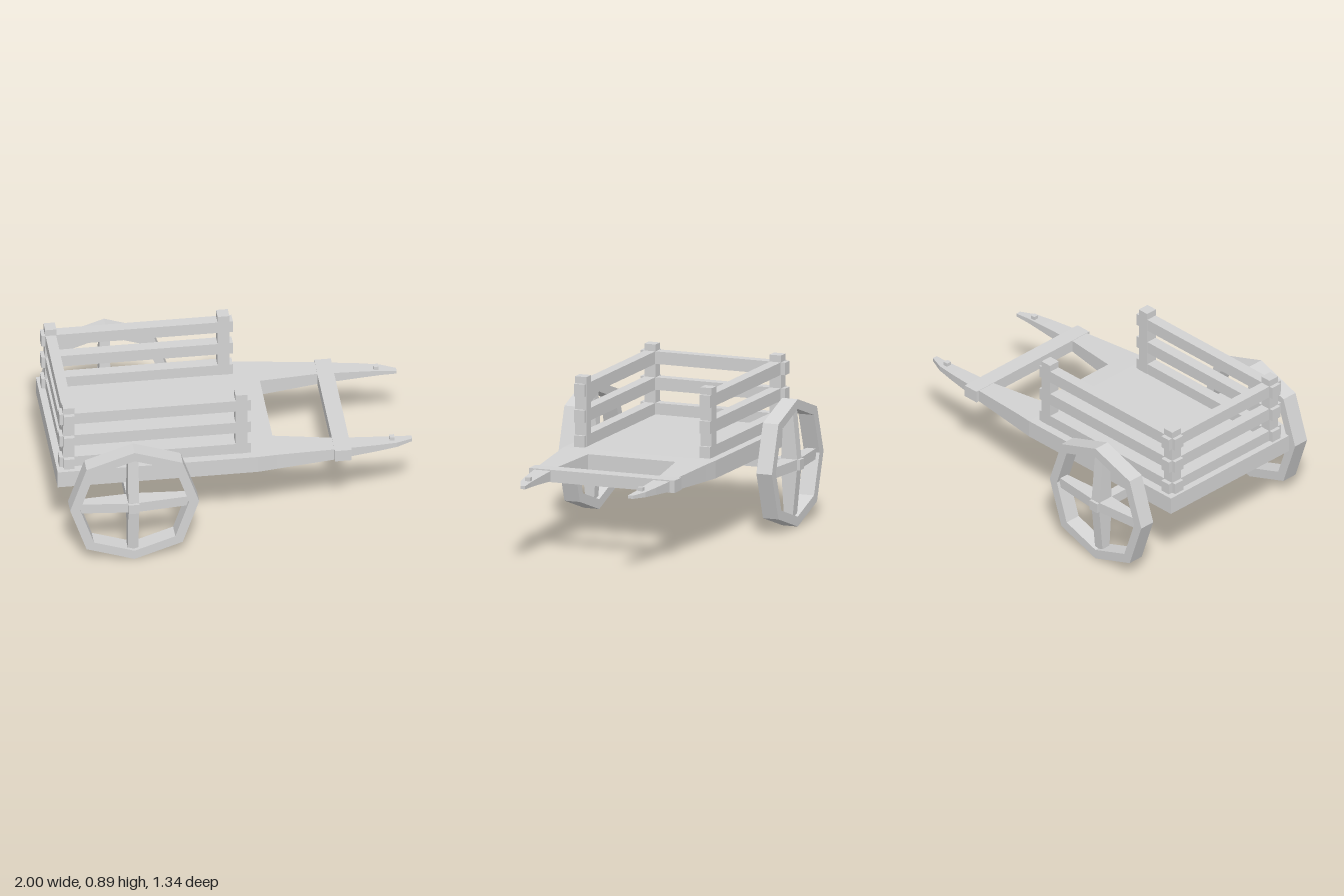
import * as THREE from 'three';

const wood = new THREE.MeshStandardMaterial({ color: 0xd3d3d3 });
wood.name = 'pale grey wood';

function add(parent, name, geometry) {
  const mesh = new THREE.Mesh(geometry, wood);
  mesh.name = name;
  parent.add(mesh);
  return mesh;
}

// Box given by its limits on each axis
function slab(parent, name, [x0, x1], [y0, y1], [z0, z1]) {
  const mesh = add(parent, name, new THREE.BoxGeometry(x1 - x0, y1 - y0, z1 - z0));
  mesh.position.set((x0 + x1) / 2, (y0 + y1) / 2, (z0 + z1) / 2);
}

// Beam along x through rectangular sections [x, z0, z1, y0, y1]
function beam(sections) {
  const rings = sections.map(([x, z0, z1, y0, y1]) =>
    [[x, y0, z0], [x, y0, z1], [x, y1, z1], [x, y1, z0]]);
  const pos = [];
  const quad = (a, b, c, d) => pos.push(...a, ...b, ...c, ...a, ...c, ...d);
  for (let i = 0; i < rings.length - 1; i++) {
    const p = rings[i], q = rings[i + 1];
    for (let k = 0; k < 4; k++) quad(p[k], q[k], q[(k + 1) % 4], p[(k + 1) % 4]);
  }
  const [a, b, c, d] = rings[0], [e, f, g, h] = rings[rings.length - 1];
  quad(a, b, c, d);
  quad(e, h, g, f);
  const geometry = new THREE.BufferGeometry();
  geometry.setAttribute('position', new THREE.Float32BufferAttribute(pos, 3));
  geometry.computeVertexNormals();
  return geometry;
}

// Same sections on the other side of the cart
const mirrorZ = (sections) => sections.map(([x, z0, z1, y0, y1]) => [x, -z1, -z0, y0, y1]);

// Eight rim corners, the diagonal ones a little further out
const octagon = (straight, diagonal) => Array.from({ length: 8 }, (_, i) => {
  const r = i % 2 ? diagonal : straight, a = i * Math.PI / 4;
  return new THREE.Vector2(r * Math.cos(a), r * Math.sin(a));
});

function makeWheel(side) {
  const wheel = new THREE.Group();
  const shape = new THREE.Shape(octagon(0.361, 0.381));
  shape.holes.push(new THREE.Path(octagon(0.305, 0.322)));
  const rim = new THREE.ExtrudeGeometry(shape, { depth: 0.094, bevelEnabled: false });
  rim.translate(0, 0, -0.047);
  add(wheel, 'rim', rim);
  // Crossed spokes, bulging outward at the hub
  const spokeSections = [
    [-0.32, -0.025, 0.025, -0.03, 0.03],
    [0, -0.045, 0.056, -0.03, 0.03],
    [0.32, -0.025, 0.025, -0.03, 0.03],
  ];
  const sections = side > 0 ? spokeSections : mirrorZ(spokeSections);
  add(wheel, 'levelSpoke', beam(sections)).position.y = -0.007;
  const upright = add(wheel, 'uprightSpoke', beam(sections));
  upright.rotation.z = Math.PI / 2;
  upright.position.x = -0.006;
  return wheel;
}

export function createModel() {
  const cart = new THREE.Group();
  cart.name = 'handcart';

  // Bed with its tapering front edge
  add(cart, 'bed', beam([
    [-1, -0.46, 0.46, 0.397, 0.498],
    [0.12, -0.46, 0.46, 0.397, 0.498],
    [0.228, -0.449, 0.449, 0.4, 0.495],
  ]));

  // Shafts and grip pegs: x, inner z, outer z, bottom, top
  const shaft = [
    [0.228, 0.264, 0.449, 0.4, 0.495],
    [0.56, 0.308, 0.42, 0.412, 0.481],
    [0.65, 0.31, 0.41, 0.418, 0.476],
    [0.8, 0.313, 0.394, 0.428, 0.469],
    [0.91, 0.315, 0.377, 0.434, 0.463],
    [1, 0.311, 0.34, 0.439, 0.457],
  ];
  for (const s of [1, -1]) {
    add(cart, s > 0 ? 'leftShaft' : 'rightShaft', beam(s > 0 ? shaft : mirrorZ(shaft)));
    slab(cart, 'gripPeg', [0.872, 0.9], [0.45, 0.485], [s * 0.34 - 0.015, s * 0.34 + 0.015]);
  }
  slab(cart, 'crossbar', [0.555, 0.648], [0.413, 0.483], [-0.44, 0.44]);

  // Fence posts and rails
  const railHeights = [[0.492, 0.563], [0.637, 0.708], [0.784, 0.855]];
  for (const s of [1, -1]) {
    const z = [s * 0.379 - 0.034, s * 0.379 + 0.034];
    for (const x of [[-0.963, -0.9], [0.002, 0.068]]) slab(cart, 'post', x, [0.49, 0.894], z);
    const zr = [z[0] + 0.002, z[1] - 0.002];
    for (const y of railHeights) slab(cart, 'sideRail', [-0.984, 0.088], y, zr);
  }
  for (const y of railHeights) slab(cart, 'backRail', [-0.961, -0.902], y, [-0.438, 0.438]);

  // Axle and wheels
  slab(cart, 'axle', [-0.63, -0.57], [0.327, 0.386], [-0.67, 0.67]);
  for (const s of [1, -1]) {
    const wheel = makeWheel(s);
    wheel.name = s > 0 ? 'leftWheel' : 'rightWheel';
    wheel.position.set(-0.594, 0.364, s * 0.6);
    cart.add(wheel);
  }
  return cart;
}
